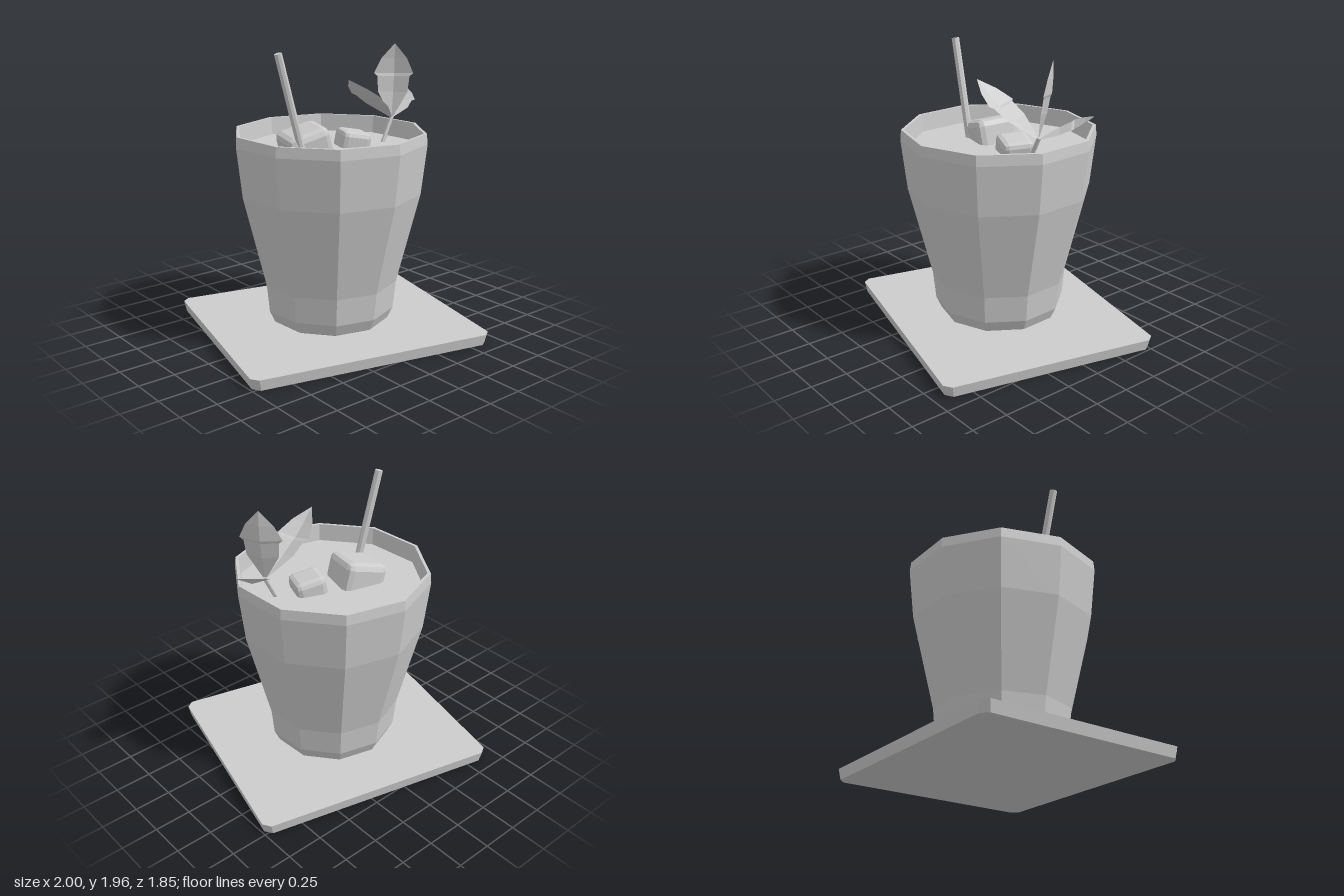
import * as THREE from 'three';
import { RoundedBoxGeometry } from 'three/addons/geometries/RoundedBoxGeometry.js';

const SIDES = 10, TURN = 0.05;
const V = (x, y, z) => new THREE.Vector3(x, y, z);

// outer wall of the tumbler, bottom to top: [radius, height]
const WALL = [[0.37, 0.08], [0.41, 0.1], [0.447, 0.18], [0.466, 0.37], [0.622, 1.0], [0.66, 1.34], [0.653, 1.41]];

// flat normals on every face
function facet(geometry) {
  const g = geometry.index ? geometry.toNonIndexed() : geometry;
  g.computeVertexNormals();
  return g;
}

// point on the faceted wall at an angle and height, pushed out a little
function onWall(angle, y, lift) {
  const i = WALL.findIndex((p, k) => k > 0 && p[1] >= y);
  const [r0, y0] = WALL[i - 1], [r1, y1] = WALL[i];
  const r = r0 + (r1 - r0) * (y - y0) / (y1 - y0);
  const step = Math.PI * 2 / SIDES;
  const a = (((angle - TURN) % step) + step) % step - step / 2;
  const d = r * Math.cos(step / 2) / Math.cos(a) + lift;
  return V(d * Math.sin(angle), y, d * Math.cos(angle));
}

// surface through rows of points
function sheet(rows) {
  const pos = [], idx = [], n = rows[0].length;
  rows.flat().forEach(p => pos.push(p.x, p.y, p.z));
  for (let i = 0; i < rows.length - 1; i++) {
    for (let j = 0; j < n - 1; j++) {
      const a = i * n + j, b = a + 1, c = a + n, d = c + 1;
      idx.push(a, b, d, a, d, c);
    }
  }
  const g = new THREE.BufferGeometry();
  g.setAttribute('position', new THREE.Float32BufferAttribute(pos, 3));
  g.setIndex(idx);
  return facet(g);
}

// folded leaf from base to tip, widest between the two side points
function leafGeometry(base, tip, sideA, sideB) {
  const half = sideB.clone().sub(sideA).multiplyScalar(0.5);
  const axis = tip.clone().sub(base);
  const normal = half.clone().cross(axis).normalize();
  if (normal.y < 0) normal.negate();
  const outline = [[0, 0.04], [0.15, 0.35], [0.35, 0.75], [0.56, 0.82], [0.6, 1], [0.8, 0.65], [1, 0]];
  return sheet(outline.map(([t, w]) => {
    const mid = base.clone().addScaledVector(axis, t);
    return [
      mid.clone().addScaledVector(half, -w),
      mid.clone().addScaledVector(normal, -0.03 * w),
      mid.clone().addScaledVector(half, w),
    ];
  }));
}

export function createModel() {
  const model = new THREE.Group();
  const grey = new THREE.MeshStandardMaterial({ color: 0xcccccc, side: THREE.DoubleSide });
  grey.name = 'grey';

  const add = (name, geometry, parent = model) => {
    const mesh = new THREE.Mesh(geometry, grey);
    mesh.name = name;
    parent.add(mesh);
    return mesh;
  };
  // faceted rod between two points
  const rod = (name, a, b, radius, sides, parent) => {
    const dir = b.clone().sub(a);
    const mesh = add(name, facet(new THREE.CylinderGeometry(radius, radius, dir.length(), sides)), parent);
    mesh.position.copy(a).addScaledVector(dir, 0.5);
    mesh.quaternion.setFromUnitVectors(V(0, 1, 0), dir.normalize());
  };

  // coaster with cut corners, slightly narrower underneath
  const w = 0.855, d = 0.75, c = 0.045;
  const outline = new THREE.Shape([
    [w, c - d], [w, d - c], [w - c, d], [c - w, d], [-w, d - c], [-w, c - d], [c - w, -d], [w - c, -d],
  ].map(p => new THREE.Vector2(...p)));
  const slab = new THREE.ExtrudeGeometry(outline, { depth: 0.075, bevelEnabled: false });
  slab.rotateX(-Math.PI / 2);
  const p = slab.attributes.position;
  for (let i = 0; i < p.count; i++) {
    if (p.getY(i) < 0.01) p.setXYZ(i, p.getX(i) * 0.983, 0, p.getZ(i) * 0.983);
  }
  add('coaster', facet(slab)).rotation.y = -0.246;

  // tumbler: base, outer wall, rim and inner wall
  const profile = [[0, 0.08], ...WALL, [0.632, 1.41], [0.618, 1.27]];
  add('tumbler', facet(new THREE.LatheGeometry(
    profile.map(q => new THREE.Vector2(...q)), SIDES, TURN)));

  // drink surface
  const drink = add('drink', facet(new THREE.CircleGeometry(0.62, SIDES, Math.PI / 2)));
  drink.rotation.set(-Math.PI / 2, 0, TURN);
  drink.position.y = 1.29;

  // thin streaks on the wall: [angle, bottom, top]
  for (const [angle, y0, y1] of [[0.596, 0.9, 1.28], [1.98, 0.95, 1.24], [2.81, 0.35, 1.36], [1.18, 0.2, 0.75]]) {
    const heights = [y0, ...WALL.map(q => q[1]).filter(y => y > y0 && y < y1), y1];
    add('streak', sheet(heights.map(y => [-0.005, 0.005].map(s => onWall(angle + s, y, 0.004)))));
  }

  // ice cubes: [size, bevel, position, tilt x, yaw, tilt z]
  for (const [size, bevel, at, rx, ry, rz] of [
    [0.3, 0.045, V(-0.155, 1.295, -0.065), 0, -0.25, 0.27],
    [0.21, 0.035, V(0.18, 1.295, 0.02), 0.08, -0.35, -0.16],
  ]) {
    const cube = add('iceCube', facet(new RoundedBoxGeometry(size, size * 0.9, size, 1, bevel)));
    cube.position.copy(at);
    cube.rotation.set(rx, ry, rz, 'ZXY');
  }

  // straw
  rod('straw', V(-0.262, 1.27, 0.05), V(-0.44, 1.95, 0.03), 0.026, 8);

  // herb sprig
  const sprig = new THREE.Group();
  sprig.name = 'sprig';
  model.add(sprig);
  const base = V(0.487, 1.45, 0.08);
  rod('stem', V(0.4, 1.28, 0.085), base.clone().add(V(0.006, 0.012, 0)), 0.014, 6, sprig);
  for (const [tip, a, b] of [
    [V(0.005, 1.765, 0.19), V(0.17, 1.65, 0.03), V(0.23, 1.64, 0.265)],
    [V(0.555, 1.955, 0.03), V(0.44, 1.745, -0.065), V(0.61, 1.75, 0.15)],
    [V(0.785, 1.63, -0.107), V(0.62, 1.585, -0.118), V(0.757, 1.565, 0.055)],
  ]) add('leaf', leafGeometry(base, tip, a, b), sprig);

  return model;
}
